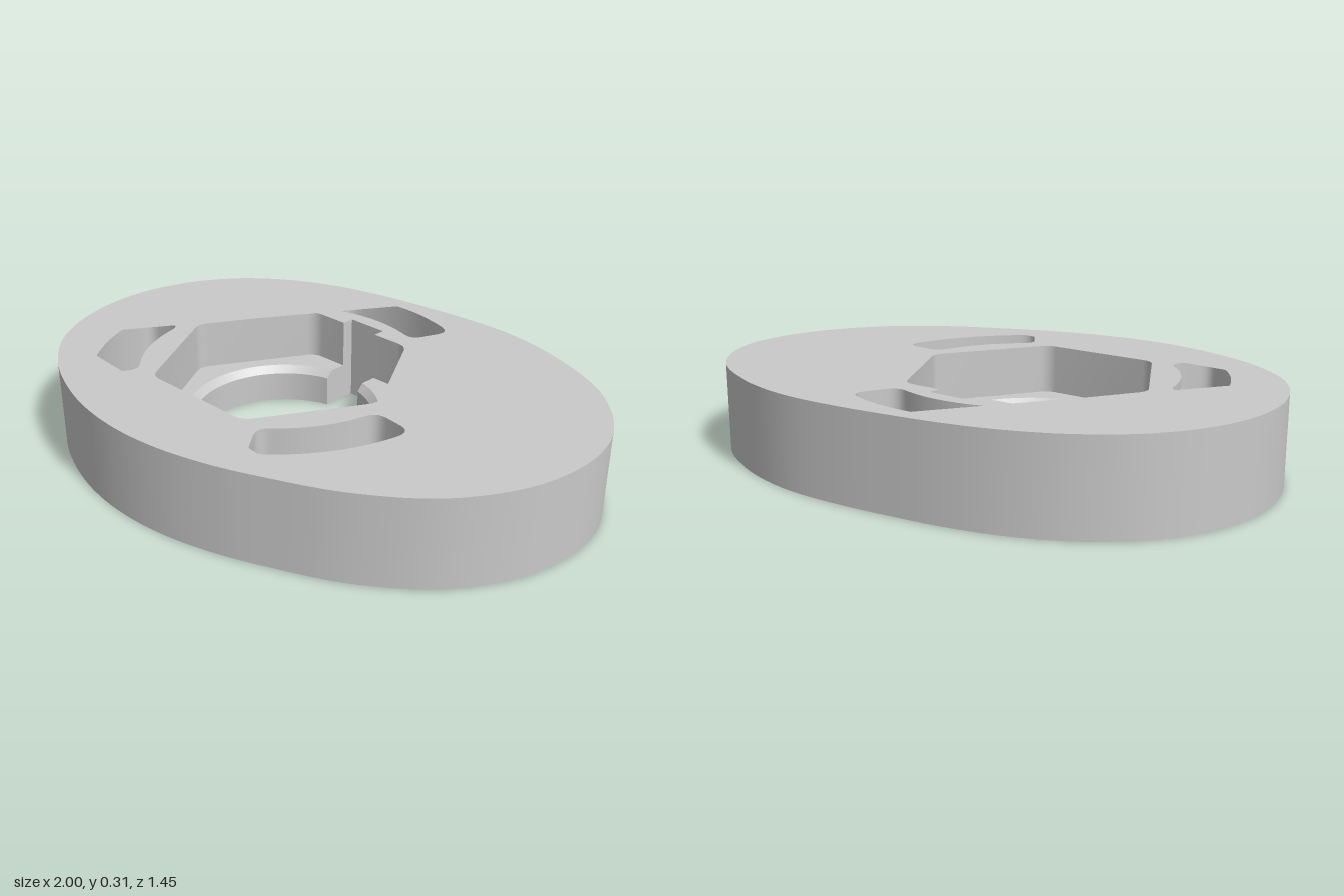
import * as THREE from 'three';
import { toCreasedNormals } from 'three/addons/utils/BufferGeometryUtils.js';

const HEIGHT = 0.31, FLOOR = 0.135, CHAMFER = 0.11; // levels
const CX = -0.143, CZ = 0.022;                       // centre of the bore
const KEY_HALF = 0.0777, KEY_END = 0.435;            // keyway
const BORE = 0.313, BORE_RIM = 0.338;
const HEX_APOTHEM = 0.39, HEX_ROUND = 0.06;
const RAD = Math.PI / 180;

// Outlines run counter-clockwise from above around the bore, in 2D with the second axis = -z.
const V = (x, y) => new THREE.Vector2(x, y);
const polar = (r, a) => V(r * Math.cos(a), r * Math.sin(a));
const reversed = (pts) => pts.slice().reverse();
const turned = (pts, a) => pts.map((p) => p.clone().rotateAround(V(0, 0), a));

function arc(r, from, to, n, x = 0, y = 0) {
  return Array.from({ length: n + 1 }, (_, i) => polar(r, from + ((to - from) * i) / n).add(V(x, y)));
}

function geometry(positions) {
  const g = new THREE.BufferGeometry();
  g.setAttribute('position', new THREE.Float32BufferAttribute(positions, 3));
  g.translate(CX, 0, CZ);
  return toCreasedNormals(g, 0.45);
}

// Side wall joining two outlines of equal point count
function wall(low, y0, high, y1) {
  const pos = [];
  low.forEach((a, i) => {
    const j = (i + 1) % low.length, b = low[j], c = high[j], d = high[i];
    pos.push(a.x, y0, -a.y, b.x, y0, -b.y, c.x, y1, -c.y);
    pos.push(a.x, y0, -a.y, c.x, y1, -c.y, d.x, y1, -d.y);
  });
  return geometry(pos);
}

// Flat face made of simple polygons, facing up or down
function cap(polygons, y, up) {
  const pos = [];
  for (const poly of polygons) {
    for (const t of THREE.ShapeUtils.triangulateShape(poly, [])) {
      for (const k of up ? t : [t[0], t[2], t[1]]) pos.push(poly[k].x, y, -poly[k].y);
    }
  }
  return geometry(pos);
}

// Cam contour: radius every 15 degrees, smoothed; starts at the keyway
function camOutline(n) {
  const radii = [
    1.128, 1.157, 1.088, 0.965, 0.857, 0.767, 0.718, 0.712, 0.735, 0.775, 0.819, 0.848,
    0.857, 0.847, 0.822, 0.777, 0.735, 0.711, 0.703, 0.711, 0.739, 0.797, 0.905, 1.033,
  ];
  const curve = new THREE.CatmullRomCurve3(radii.map((r) => new THREE.Vector3(r, 0, 0)), true, 'catmullrom', 0.5);
  return Array.from({ length: n }, (_, i) => {
    const t = (i / n + 0.25) % 1;
    return polar(curve.getPoint(t).x, t * Math.PI * 2);
  });
}

// Bore circle, left open where the keyway breaks through
function boreArc(r) {
  const gap = Math.asin(KEY_HALF / r);
  return arc(r, Math.PI / 2 + gap, Math.PI * 2.5 - gap, 72);
}

// Rounded hexagon, also open at the keyway
function hexArc() {
  const c = (HEX_APOTHEM - HEX_ROUND) / Math.cos(30 * RAD);
  const pts = [V(-KEY_HALF, HEX_APOTHEM)];
  for (let a = 120; a <= 420; a += 60) {
    pts.push(...arc(HEX_ROUND, (a - 30) * RAD, (a + 30) * RAD, 6, c * Math.cos(a * RAD), c * Math.sin(a * RAD)));
  }
  return [...pts, V(KEY_HALF, HEX_APOTHEM)];
}

const withKeyway = (pts) => [V(-KEY_HALF, KEY_END), ...pts, V(KEY_HALF, KEY_END)];

// Half of a curved slot, from the middle of its outer arc round one end to the middle of its inner arc
function halfSlot() {
  const ro = 0.652, ri = 0.491, half = 23.3 * RAD, f = 0.05;
  const corner = (a, b, c) => new THREE.QuadraticBezierCurve(a, b, c).getPoints(6);
  return [
    ...arc(ro, 0, half - f / ro, 8),
    ...corner(polar(ro, half - f / ro), polar(ro, half), polar(ro - f, half)).slice(1),
    ...corner(polar(ri + f, half), polar(ri, half), polar(ri, half - f / ri)),
    ...arc(ri, half - f / ri, 0, 8).slice(1),
  ];
}

export function createModel() {
  const group = new THREE.Group();
  group.name = 'camDisc';
  const steel = new THREE.MeshStandardMaterial({ color: 0xc9c9c9 });
  steel.name = 'grey steel';
  const add = (name, geo) => {
    const mesh = new THREE.Mesh(geo, steel);
    mesh.name = name;
    group.add(mesh);
  };

  const cam = camOutline(168);
  const bore = withKeyway(boreArc(BORE));
  const boreRim = withKeyway(boreArc(BORE_RIM));
  const hex = withKeyway(hexArc());
  const slotPlus = halfSlot();
  const slotMinus = slotPlus.map((p) => V(p.x, -p.y));
  const slot = [...slotPlus, ...reversed(slotMinus).slice(1, -1)];

  // Disc face in three sectors, each running from one slot's middle to the next
  const sectors = (hole, radius) => [0, 1, 2].map((k) => {
    const start = (90 + 120 * k) * RAD, end = start + 120 * RAD;
    const step = cam.length / 3;
    const rim = Array.from({ length: step + 1 }, (_, i) => cam[(k * step + i) % cam.length]);
    const turn = (p) => (Math.atan2(p.y, p.x) / RAD - 90 + 720) % 360;
    const inner = hole.filter((p) => turn(p) > 120 * k + 0.01 && turn(p) < 120 * (k + 1) - 0.01);
    return [
      ...rim,
      ...turned(slotMinus, end),
      polar(k === 2 ? KEY_END : radius, end),
      ...reversed(inner),
      polar(k === 0 ? KEY_END : radius, start),
      ...reversed(turned(slotPlus, start)),
    ];
  });

  // Disc body
  add('rim', wall(cam, 0, cam, HEIGHT));
  add('topFace', cap(sectors(hex, HEX_APOTHEM), HEIGHT, true));
  add('bottomFace', cap(sectors(bore, BORE), 0, false));

  // Hexagonal pocket, chamfer and keyed bore
  add('pocketFloor', cap([[...hexArc(), ...reversed(boreArc(BORE_RIM))]], FLOOR, true));
  add('pocketWall', wall(reversed(hex), FLOOR, reversed(hex), HEIGHT));
  add('boreChamfer', wall(reversed(bore), CHAMFER, reversed(boreRim), FLOOR));
  add('boreWall', wall(reversed(bore), 0, reversed(bore), CHAMFER));

  // Three adjusting slots
  [90, 210, 330].forEach((a, i) => {
    const outline = reversed(turned(slot, a * RAD));
    add('slotWall' + (i + 1), wall(outline, 0, outline, HEIGHT));
  });
  return group;
}
